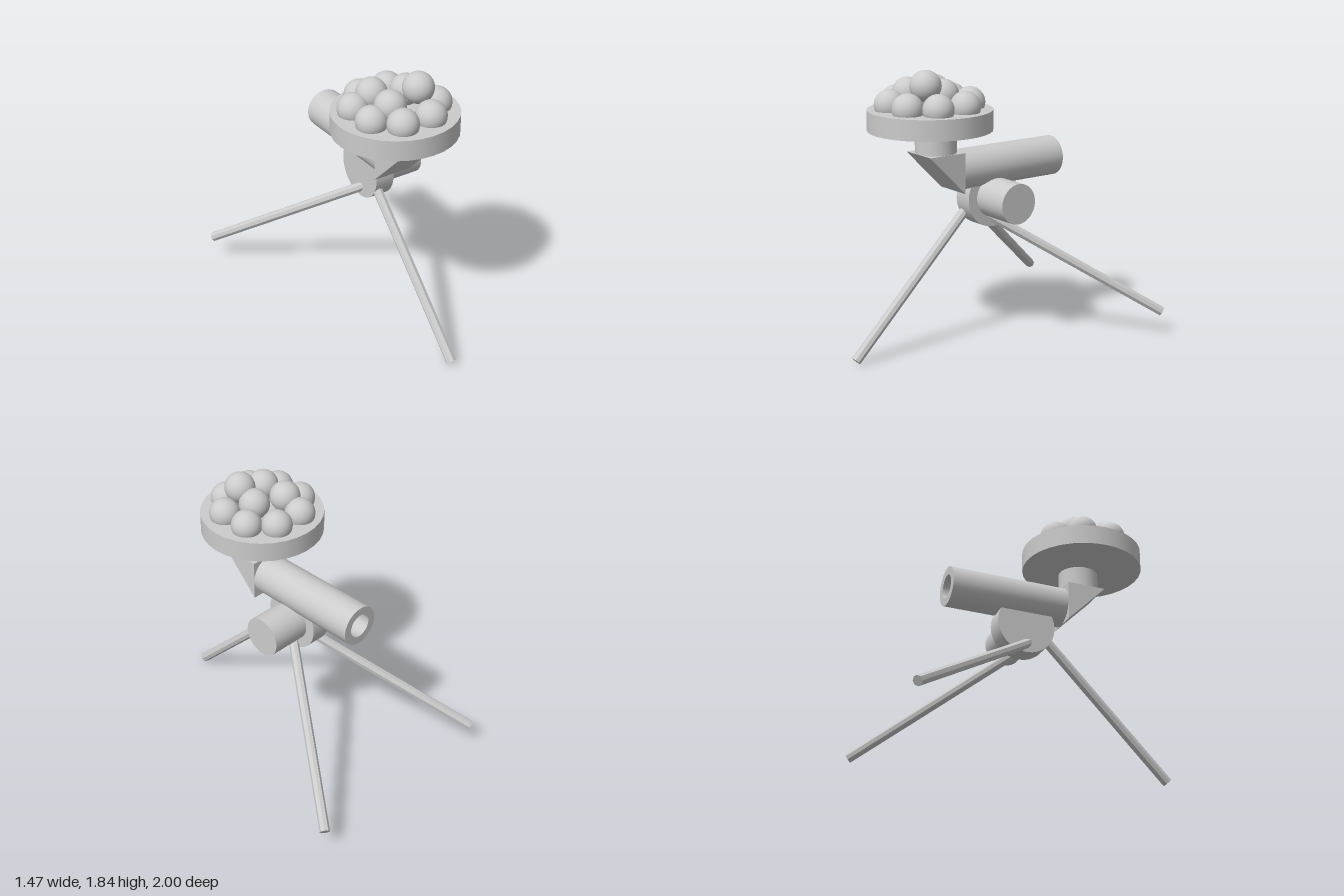
import * as THREE from 'three';
import { toCreasedNormals } from 'three/addons/utils/BufferGeometryUtils.js';

const SEG = 32;

export function createModel() {
  const model = new THREE.Group();
  const smooth = new THREE.MeshStandardMaterial({ color: 0xcccccc });
  const faceted = new THREE.MeshStandardMaterial({ color: 0xcccccc, flatShading: true });

  const add = (name, geometry, x, y, z, material = smooth) => {
    const mesh = new THREE.Mesh(geometry, material);
    mesh.name = name;
    mesh.position.set(x, y, z);
    model.add(mesh);
    return mesh;
  };

  // Hollow pipe along y, centred on the origin
  const pipe = (outer, inner, length) => {
    const h = length / 2;
    const profile = [[inner, -h], [outer, -h], [outer, h], [inner, h], [inner, -h]]
      .map(([r, y]) => new THREE.Vector2(r, y));
    return toCreasedNormals(new THREE.LatheGeometry(profile, SEG), 0.6);
  };

  // Straight leg between two points
  const addLeg = (name, top, foot) => {
    const a = new THREE.Vector3(...top), b = new THREE.Vector3(...foot);
    const dir = a.clone().sub(b);
    const mid = a.clone().add(b).multiplyScalar(0.5);
    const leg = add(name, new THREE.CylinderGeometry(0.033, 0.033, dir.length(), 8), mid.x, mid.y, mid.z, faceted);
    leg.quaternion.setFromUnitVectors(new THREE.Vector3(0, 1, 0), dir.normalize());
  };

  // Tripod
  addLeg('frontLeg', [-0.035, 0.956, 0.05], [-0.035, 0.028, 0.978]);
  for (const s of [-1, 1]) {
    addLeg(s > 0 ? 'backLeftLeg' : 'backRightLeg', [s * 0.025, 0.865, 0.01], [s * 0.705, 0.165, -0.972]);
  }

  // Pivot disc and side counterweight, both along x
  add('pivotDisc', new THREE.CylinderGeometry(0.2, 0.2, 0.133, SEG).rotateZ(Math.PI / 2), -0.001, 0.972, -0.035);
  add('counterweight', new THREE.CylinderGeometry(0.133, 0.133, 0.268, SEG).rotateZ(Math.PI / 2), 0.199, 0.972, -0.035);

  // Main tube, open at the back
  add('mainTube', pipe(0.133, 0.079, 0.81).rotateX(Math.PI / 2), 0, 1.173, -0.165);

  // Triangular elbow joining the main tube to the upright neck
  const triangle = new THREE.Shape([
    new THREE.Vector2(-0.24, 1.04), new THREE.Vector2(-0.24, 1.307), new THREE.Vector2(-0.508, 1.307),
  ]);
  add('elbowPrism', new THREE.ExtrudeGeometry(triangle, { depth: 0.268, bevelEnabled: false })
    .rotateY(Math.PI / 2), -0.134, 0, 0);
  add('neck', pipe(0.133, 0.079, 0.14), 0, 1.376, 0.374);

  // Round plate
  add('plate', new THREE.CylinderGeometry(0.402, 0.402, 0.133, SEG), -0.068, 1.509, 0.369);

  // Balls piled on the plate: x, y, z
  const low = 1.61, mid = 1.677, high = 1.743;
  const balls = [
    [-0.173, low, 0.13], [0.031, low, 0.13],
    [-0.308, low, 0.265], [-0.173, mid, 0.265], [0.031, mid, 0.335], [0.167, low, 0.265],
    [-0.308, low, 0.468], [-0.173, mid, 0.468], [0.031, high, 0.468], [0.167, low, 0.468],
    [-0.173, low, 0.604], [0.031, low, 0.604],
  ];
  const ballGeometry = new THREE.SphereGeometry(0.1, 32, 20);
  balls.forEach(([x, y, z], i) => add(`ball${i + 1}`, ballGeometry, x, y, z));

  return model;
}
